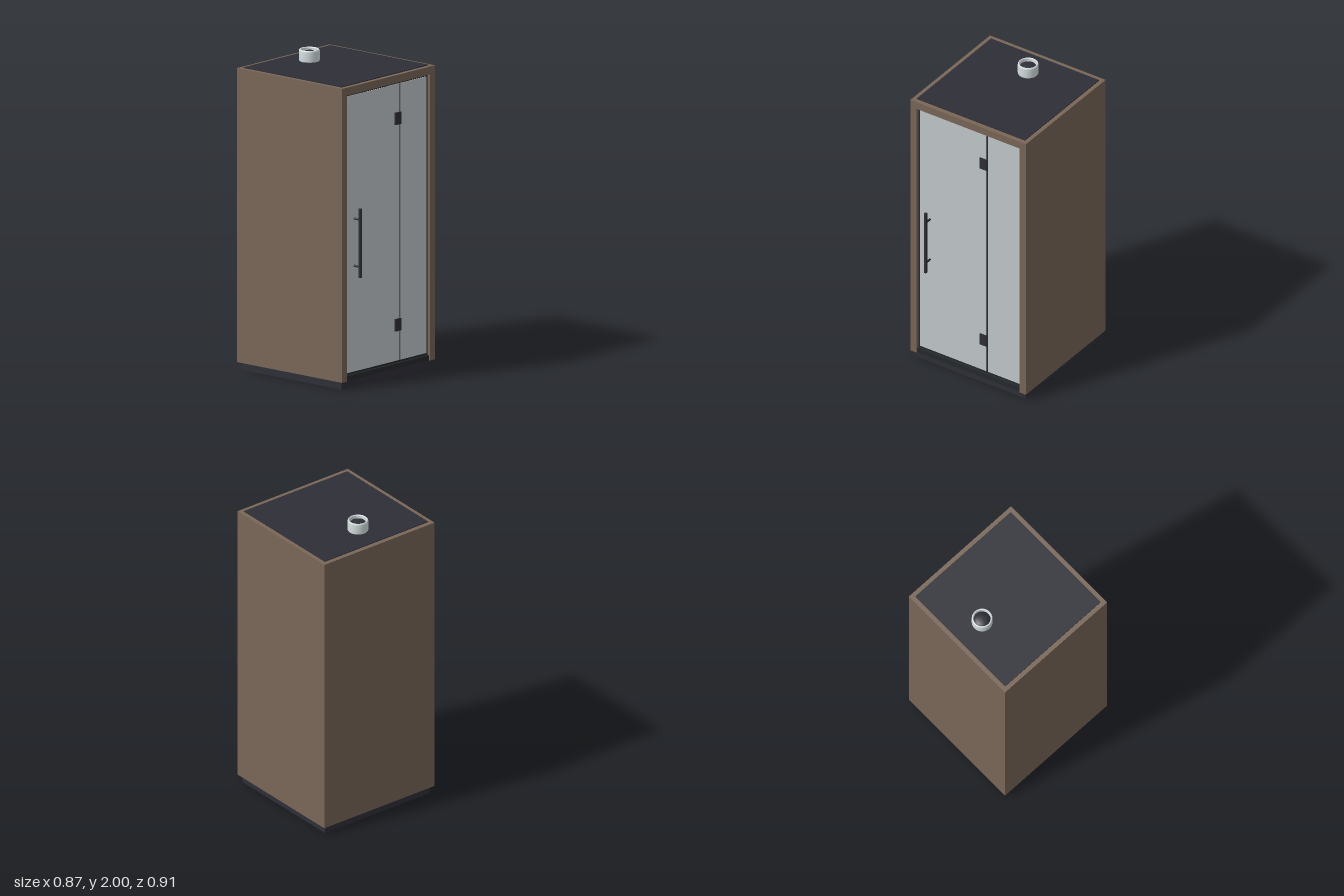
import * as THREE from 'three';

const mat = (name, color) => {
  const m = new THREE.MeshStandardMaterial({ color });
  m.name = name;
  return m;
};

export function createModel() {
  const wood = mat('brown panel', 0x796657);
  const dark = mat('dark roof and base', 0x2e2e37);
  const black = mat('black trim', 0x25292c);
  const glass = mat('pale glass', 0xc1c9cb);
  const white = mat('vent white', 0xd6dfe0);
  const model = new THREE.Group();
  model.name = 'cabin';

  const add = (name, geometry, material, parent = model) => {
    const mesh = new THREE.Mesh(geometry, material);
    mesh.name = name;
    parent.add(mesh);
    return mesh;
  };
  // Box given by its minimum and maximum on each axis
  const box = (name, material, [x0, x1], [y0, y1], [z0, z1], parent) => {
    const mesh = add(name, new THREE.BoxGeometry(x1 - x0, y1 - y0, z1 - z0), material, parent);
    mesh.position.set((x0 + x1) / 2, (y0 + y1) / 2, (z0 + z1) / 2);
    return mesh;
  };

  // Plinth, cabin body and roof panel
  box('base', dark, [-0.415, 0.415], [0, 0.05], [-0.437, 0.39]);
  box('body', wood, [-0.435, 0.435], [0.05, 1.92], [-0.455, 0.375]);
  box('roofPanel', dark, [-0.407, 0.407], [1.915, 1.925], [-0.425, 0.385]);

  // Front surround, open at the bottom
  const surround = new THREE.Shape([
    [-0.435, 0.05], [-0.388, 0.05], [-0.388, 1.87], [0.388, 1.87],
    [0.388, 0.05], [0.435, 0.05], [0.435, 1.92], [-0.435, 1.92],
  ].map(([x, y]) => new THREE.Vector2(x, y)));
  const surroundMesh = add('frontSurround',
    new THREE.ExtrudeGeometry(surround, { depth: 0.04, bevelEnabled: false }), wood);
  surroundMesh.position.z = 0.375;

  // Door frame, sill and glass panes
  box('doorFrame', black, [-0.388, 0.388], [0.05, 1.87], [0.37, 0.392]);
  box('sill', black, [-0.388, 0.388], [0.05, 0.083], [0.39, 0.408]);
  box('doorGlass', glass, [-0.376, 0.122], [0.097, 1.857], [0.389, 0.396]);
  box('sideGlass', glass, [0.136, 0.376], [0.097, 1.857], [0.389, 0.396]);

  // Hinges
  for (const y of [0.325, 1.638]) {
    box('hinge', dark, [0.077, 0.13], [y - 0.039, y + 0.039], [0.39, 0.405]);
  }

  // Handle: upright bar on two standoffs
  const handle = new THREE.Group();
  handle.name = 'handle';
  handle.position.set(-0.3, 0, 0.444);
  model.add(handle);
  add('handleBar', new THREE.CylinderGeometry(0.011, 0.011, 0.44, 16), dark, handle).position.y = 0.92;
  for (const y of [0.77, 1.07]) {
    const post = add('standoff', new THREE.CylinderGeometry(0.007, 0.007, 0.05, 12), dark, handle);
    post.rotation.x = Math.PI / 2;
    post.position.set(0, y, -0.025);
  }

  // Roof vent: rounded ring with a dark inside
  const vent = new THREE.Group();
  vent.name = 'vent';
  vent.position.set(0, 1.925, -0.24);
  model.add(vent);
  const ring = [[0.062, 0], [0.065, 0.006], [0.065, 0.063], [0.063, 0.071],
    [0.059, 0.075], [0.055, 0.073], [0.053, 0.068], [0.053, 0.03]];
  add('ventRing', new THREE.LatheGeometry(ring.map(([r, y]) => new THREE.Vector2(r, y)), 40), white, vent);
  const cap = add('ventCap', new THREE.SphereGeometry(0.053, 32, 8, 0, Math.PI * 2, 0, Math.PI / 2), dark, vent);
  cap.scale.y = 0.4;
  cap.position.y = 0.045;

  return model;
}
